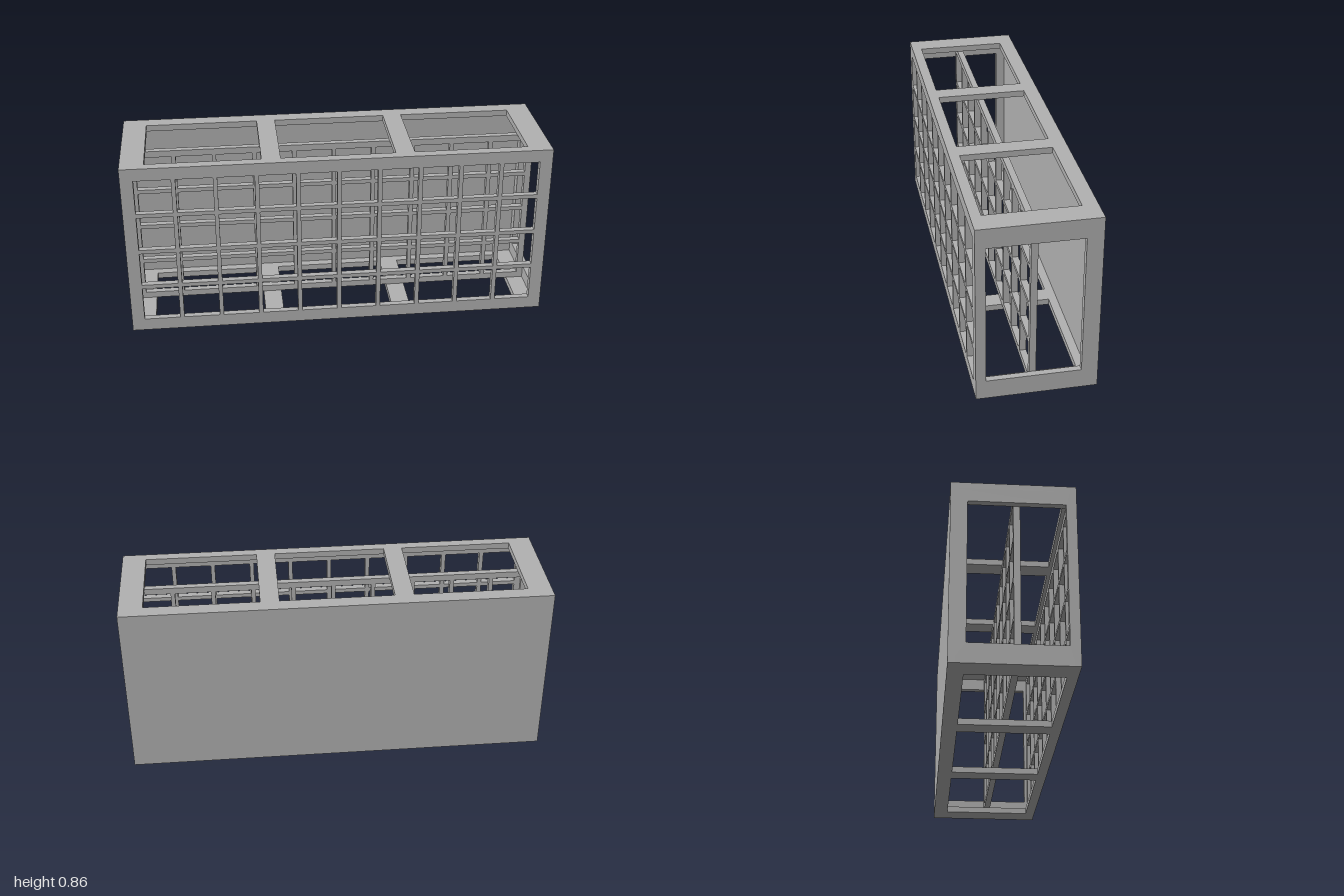
import * as THREE from 'three';

const W = 2, H = 0.862, D = 0.545, T = 0.03;

// Flat plate centred on the origin, with rectangular holes [cx, cy, w, h]
function plate(name, w, h, holes, material) {
  const rect = (P, cx, cy, a, b) => {
    const p = new P();
    p.moveTo(cx - a / 2, cy - b / 2);
    p.lineTo(cx + a / 2, cy - b / 2);
    p.lineTo(cx + a / 2, cy + b / 2);
    p.lineTo(cx - a / 2, cy + b / 2);
    p.closePath();
    return p;
  };
  const shape = rect(THREE.Shape, 0, 0, w, h);
  for (const q of holes) shape.holes.push(rect(THREE.Path, ...q));
  const geo = new THREE.ExtrudeGeometry(shape, { depth: T, bevelEnabled: false });
  geo.translate(0, 0, -T / 2);
  const mesh = new THREE.Mesh(geo, material);
  mesh.name = name;
  return mesh;
}

export function createModel() {
  const model = new THREE.Group();
  model.name = 'gridCabinet';
  const grey = new THREE.MeshStandardMaterial({ color: 0xb2b2b2 });
  grey.name = 'grey';

  // Ten by four square cells shared by the front and middle grids
  const cells = [];
  for (let i = 0; i < 10; i++)
    for (let j = 0; j < 4; j++)
      cells.push([(i - 4.5) * 0.19, (j - 1.5) * 0.19, 0.17, 0.17]);

  // Front grid and solid back
  const front = plate('frontGrid', W, H, cells, grey);
  front.position.set(0, H / 2, D / 2 - T / 2);
  const back = plate('backPanel', W, H, [], grey);
  back.position.set(0, H / 2, -D / 2 + T / 2);

  // Middle grid between the end frames
  const middle = plate('middleGrid', W - 2 * T, H - 2 * T, cells, grey);
  middle.position.set(0, H / 2, 0.015);
  model.add(front, back, middle);

  // Top and bottom frames with three openings
  const openings = [-0.622, 0, 0.622].map(x => [x, -0.0115, 0.533, 0.427]);
  for (const [name, y] of [['topFrame', H - T / 2], ['bottomFrame', T / 2]]) {
    const f = plate(name, W, D - 2 * T, openings, grey);
    f.rotation.x = -Math.PI / 2;
    f.position.y = y;
    model.add(f);
  }

  // End frames with one tall opening
  for (const [name, s] of [['leftEndFrame', 1], ['rightEndFrame', -1]]) {
    const f = plate(name, D - 2 * T, H - 2 * T, [[-0.0145, 0, 0.425, 0.676]], grey);
    f.rotation.y = Math.PI / 2;
    f.position.set(s * (W - T) / 2, H / 2, 0);
    model.add(f);
  }
  return model;
}
